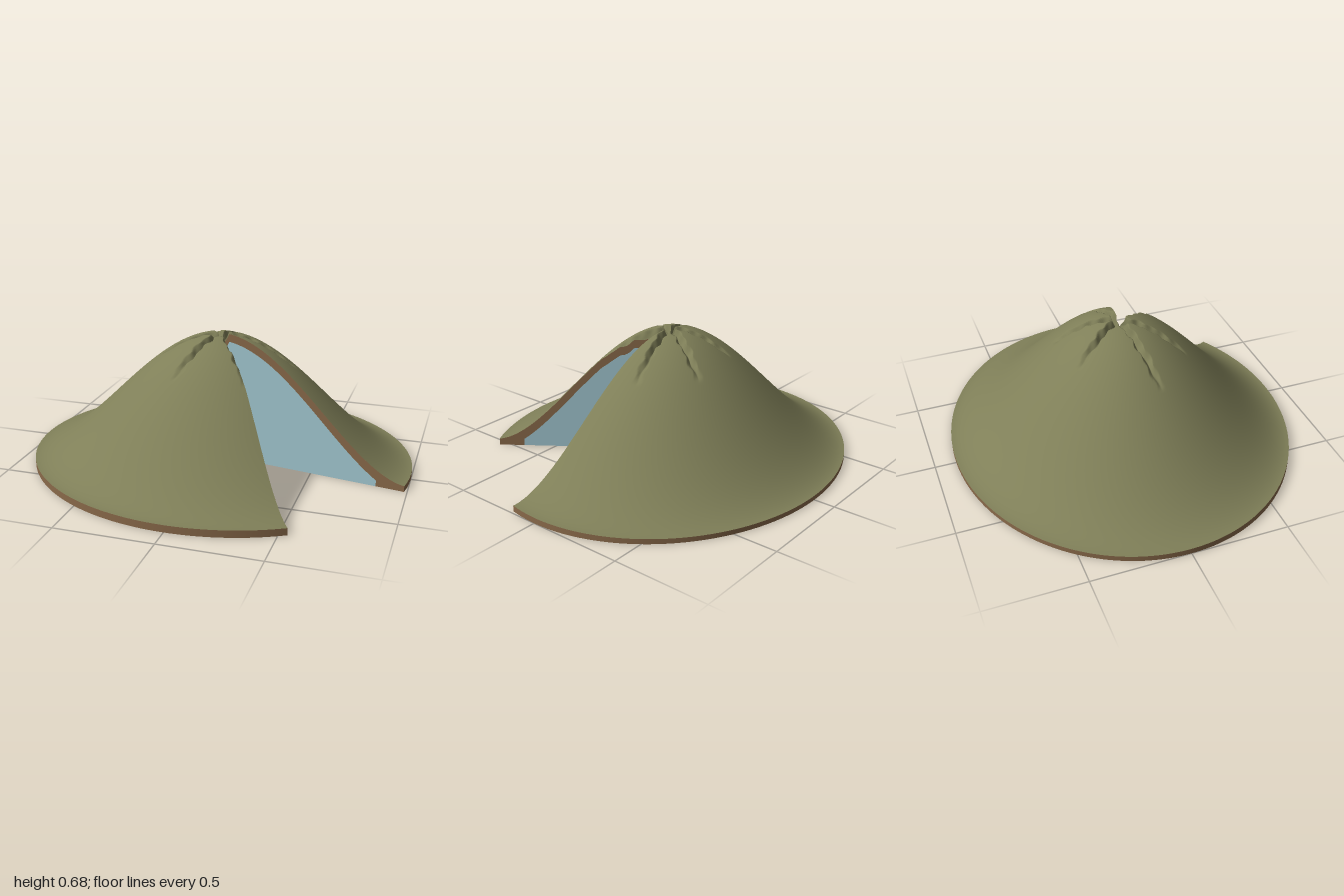
import * as THREE from 'three';

const DEPTH = 0.89;                       // z radius of the oval base (x radius is 1)
const START = THREE.MathUtils.degToRad(57.3);
const END = THREE.MathUtils.degToRad(370); // the wedge from 10 to 57.3 degrees is cut away
const ICE_EDGE = 0.855;

// Summit cracks: direction in degrees and length
const CRACKS = [[-14, 0.38], [-66, 0.37], [-118, 0.33], [166, 0.4], [115, 0.38], [56, 0.38]];

const material = (color) => new THREE.MeshStandardMaterial({ color, roughness: 0.9, side: THREE.DoubleSide });

// Depth of the radial cracks, deepest at the summit and fading outwards
function crackDepth(r, a) {
  let depth = 0;
  CRACKS.forEach(([deg, length], i) => {
    const d = a - THREE.MathUtils.degToRad(deg);
    if (Math.cos(d) < 0 || r > length) return;
    const wobble = 0.004 * Math.sin(r * 55 + i * 2) * Math.min(1, r * 8);
    const across = Math.abs(r * Math.sin(d) + wobble);
    const width = 0.022 + 0.006 * Math.sin(r * 90 + i);
    const fade = Math.pow(1 - r / length, 0.7);
    depth = Math.max(depth, 0.062 * fade * Math.max(0, 1 - across / width));
  });
  return depth;
}

// Height of the grassy surface and of the ice core below it
function surfaceHeight(r, a) {
  const rim = 0.03 + 0.007 * Math.sin(a);
  const dome = Math.pow(Math.max(0, Math.cos(r * Math.PI / 2)), 1.65);
  return rim + (0.685 - rim) * dome - crackDepth(r, a);
}
const iceHeight = (r, a) => surfaceHeight(r, a) - 0.04 - 0.018 * r;

const point = (r, a, y) => [r * Math.cos(a), y, DEPTH * r * Math.sin(a)];

// Sheet of quads from a function of u and v, both 0 to 1
function sheet(name, mat, nu, nv, fn) {
  const positions = [], index = [];
  for (let i = 0; i <= nu; i++) {
    for (let j = 0; j <= nv; j++) positions.push(...fn(i / nu, j / nv));
  }
  for (let i = 0; i < nu; i++) {
    for (let j = 0; j < nv; j++) {
      const a = i * (nv + 1) + j, b = a + nv + 1;
      index.push(a, b, b + 1, a, b + 1, a + 1);
    }
  }
  const geometry = new THREE.BufferGeometry();
  geometry.setAttribute('position', new THREE.Float32BufferAttribute(positions, 3));
  geometry.setIndex(index);
  geometry.computeVertexNormals();
  const mesh = new THREE.Mesh(geometry, mat);
  mesh.name = name;
  return mesh;
}

export function createModel() {
  const group = new THREE.Group();
  group.name = 'cutawayIceHill';
  const grass = material(0x7f7f58);
  const soil = material(0x8a6a4a);
  const ice = material(0xa3c9d2);
  const angle = (u) => START + (END - START) * u;

  // Grassy cover, with rings closer together near the cracked summit
  group.add(sheet('grassSurface', grass, 420, 90, (u, v) => {
    const r = Math.pow(v, 1.4), a = angle(u);
    return point(r, a, surfaceHeight(r, a));
  }));

  // Soil rim and flat underside
  group.add(sheet('soilRim', soil, 180, 1, (u, v) => {
    const a = angle(u);
    return point(1, a, surfaceHeight(1, a) * (1 - v));
  }));
  group.add(sheet('underside', soil, 180, 1, (u, v) => point(1 - v, angle(u), 0)));

  // Both cut faces: ice core, soil layer above it and soil toe outside it
  [[START, 'front', false], [END, 'side', true]].forEach(([a, side, flip]) => {
    const turn = (u) => (flip ? 1 - u : u);
    group.add(sheet(side + 'IceCore', ice, 60, 1, (u, v) => {
      const r = turn(u) * ICE_EDGE;
      return point(r, a, iceHeight(r, a) * v);
    }));
    group.add(sheet(side + 'SoilLayer', soil, 60, 1, (u, v) => {
      const r = turn(u) * ICE_EDGE;
      return point(r, a, THREE.MathUtils.lerp(iceHeight(r, a), surfaceHeight(r, a), v));
    }));
    group.add(sheet(side + 'SoilToe', soil, 14, 1, (u, v) => {
      const r = ICE_EDGE + turn(u) * (1 - ICE_EDGE);
      return point(r, a, surfaceHeight(r, a) * v);
    }));
  });
  return group;
}
